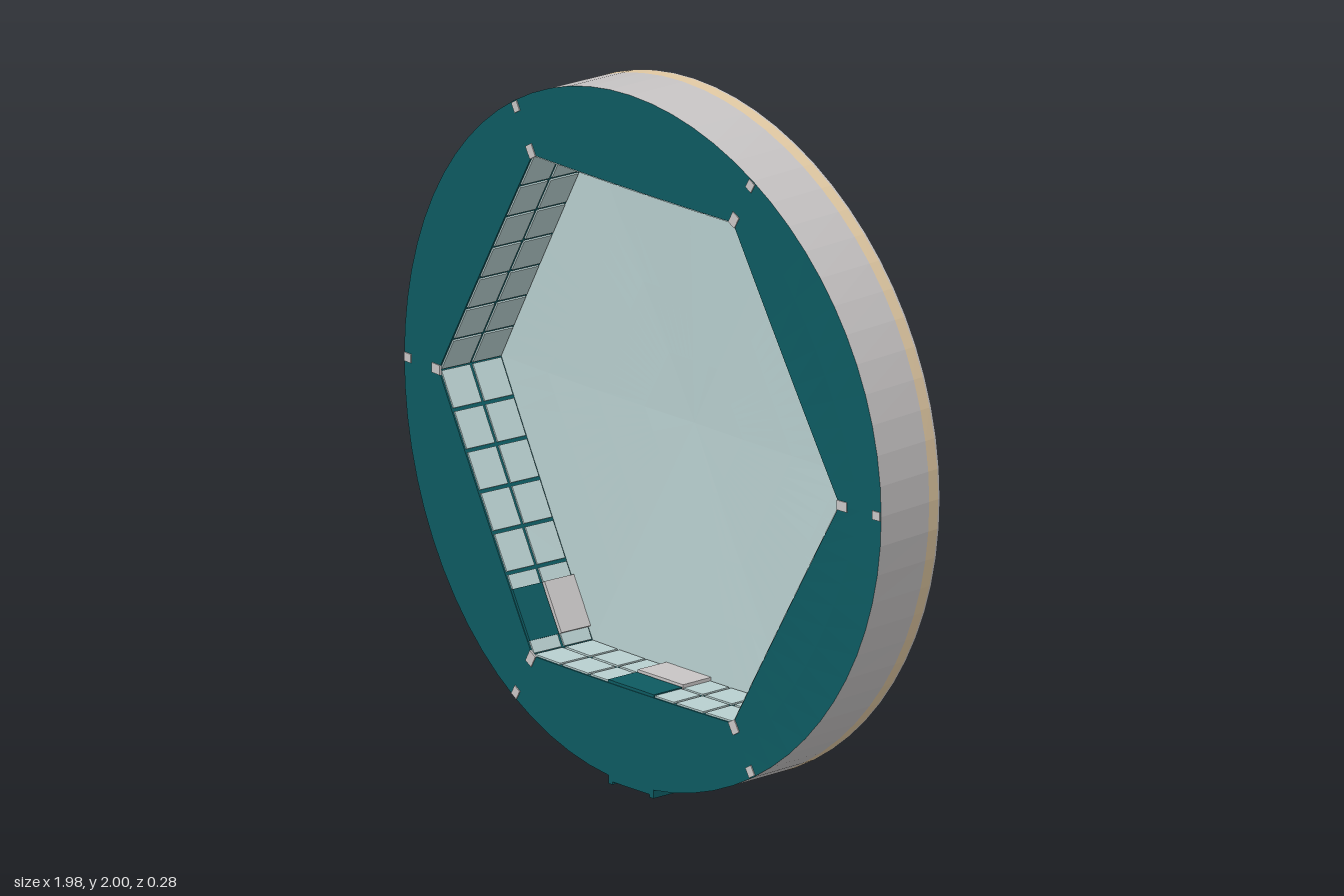
import * as THREE from 'three';
import { mergeGeometries } from 'three/addons/utils/BufferGeometryUtils.js';

const mat = (name, color) => new THREE.MeshStandardMaterial({ name, color });

const CY = 1.01;              // height of the disc centre
const R = 0.99;               // outer radius
const AP = 0.72;              // centre to flat side of the hexagonal opening
const SIDE = AP * 2 / Math.sqrt(3);
const ZF = 0.14, ZB = -0.095; // front and back before bending
const BEND = 10.8;            // radius of the wall the disc is curved to fit
const rad = THREE.MathUtils.degToRad;

// Wrap a point around the vertical axis of the curved wall
function bend(x, y, z) {
  const r = BEND + z - ZF, a = x / BEND;
  return [r * Math.sin(a), y, ZF - BEND + r * Math.cos(a)];
}

function finish(geo) {
  const g = geo.index ? geo.toNonIndexed() : geo;
  g.deleteAttribute('uv');
  g.computeVertexNormals();
  return g;
}

function bendGeometry(geo) {
  const p = geo.attributes.position;
  for (let i = 0; i < p.count; i++) p.setXYZ(i, ...bend(p.getX(i), p.getY(i), p.getZ(i)));
  return finish(geo);
}

// Distance from the centre to the hexagon's edge, angle in degrees
const hex = (deg) => AP / Math.cos(rad(((deg % 60) + 60) % 60 - 30));
const round = () => R;

// Band swept around the disc between two [radius(angle), z] rings
function band([ra, za], [rb, zb], rows = 1, from = 0, to = 360) {
  const pos = [], idx = [], n = (to - from) / 5;
  for (let i = 0; i <= n; i++) {
    const deg = from + i * 5, c = Math.cos(rad(deg)), s = Math.sin(rad(deg));
    for (let j = 0; j <= rows; j++) {
      const t = j / rows, r = ra(deg) * (1 - t) + rb(deg) * t;
      pos.push(...bend(r * c, CY + r * s, za + (zb - za) * t));
    }
  }
  for (let i = 0; i < n; i++) for (let j = 0; j < rows; j++) {
    const a = i * (rows + 1) + j, b = a + rows + 1;
    idx.push(a, b, a + 1, b, b + 1, a + 1);
  }
  const g = new THREE.BufferGeometry();
  g.setAttribute('position', new THREE.Float32BufferAttribute(pos, 3));
  g.setIndex(idx);
  return finish(g);
}

// Box placed at a polar position: width along the tangent, height along the radius
function polarBox(w, h, d, deg, r, z, shift = 0) {
  const g = new THREE.BoxGeometry(w, h, d);
  g.translate(-shift, r, z);
  g.rotateZ(rad(deg - 90));
  g.translate(0, CY, 0);
  return bendGeometry(g);
}

export function createModel() {
  const teal = mat('dark teal', 0x0d5a61);
  const glass = mat('pale glass', 0xb8cfcf);
  const grey = mat('light grey', 0xc8c5c5);
  const tan = mat('tan', 0xe2caa4);

  const model = new THREE.Group();
  model.name = 'curvedDiscModule';
  const add = (name, geo, material) => {
    const m = new THREE.Mesh(Array.isArray(geo) ? mergeGeometries(geo) : geo, material);
    m.name = name;
    model.add(m);
  };

  // Outer rim with a tan stripe near the back
  const T0 = -0.088, T1 = -0.052;
  add('outerRim', [
    band([round, ZB], [round, T0]),
    band([round, T1], [round, ZF]),
  ], grey);
  add('rimStripe', band([round, T0], [round, T1]), tan);

  // Front ring and the walls of the opening
  add('frontRing', band([round, ZF], [hex, ZF], 2), teal);
  add('openingWalls', band([hex, ZF], [hex, ZB]), teal);

  // Back ring: grey with one glazed sector at the top
  add('backRing', band([hex, ZB], [round, ZB], 2, 120, 420), grey);
  add('topBackSector', band([hex, ZB], [round, ZB], 2, 60, 120), glass);

  // Hexagonal window, slightly bulged to the back
  const centre = () => 0;
  add('window', [
    band([hex, ZB + 0.02], [centre, ZB], 4),
    band([centre, ZB - 0.018], [hex, ZB], 4),
  ], glass);

  // Tiles lining the six walls, two rows deep
  const tiles = [], cols = 7, tw = SIDE / cols, td = (ZF - ZB - 0.02) / 2;
  for (let k = 0; k < 6; k++)
    for (let i = 0; i < cols; i++)
      for (let j = 0; j < 2; j++)
        tiles.push(polarBox(tw - 0.01, 0.006, td - 0.01, 30 + 60 * k, AP - 0.002,
          ZF - td * (j + 0.5), (i - (cols - 1) / 2) * tw));
  add('wallTiles', tiles, glass);

  // Two hatches inside the opening: bottom centre and lower right wall end
  const hatches = [[270, 0, 0.19], [210, 0.3, 0.15]];
  add('hatchFronts', hatches.map(([a, s, w]) =>
    polarBox(w, 0.009, td - 0.004, a, AP - 0.004, ZF - td / 2, s)), teal);
  add('hatchBacks', hatches.map(([a, s, w]) =>
    polarBox(w, 0.016, td - 0.004, a, AP - 0.007, ZF - td * 1.5, s)), grey);

  // Small fittings on the front at the hexagon corners and the rim
  const marks = [];
  for (let a = 0; a < 360; a += 60) {
    marks.push(polarBox(0.028, 0.038, 0.006, a, 0.842, ZF));
    marks.push(polarBox(0.025, 0.03, 0.006, a, 0.972, ZF));
  }
  add('frontFittings', marks, grey);

  // Outer hatch under the rim, with side rails and a grey frame behind
  const box = (w, h, d, x, y, z) => finish(new THREE.BoxGeometry(w, h, d).translate(x, y, z));
  add('lowerHatch', [
    box(0.17, 0.02, 0.138, 0, 0.018, 0.069),
    ...[-1, 1].map((s) => box(0.016, 0.024, 0.138, s * 0.085, 0.012, 0.069)),
  ], teal);
  add('lowerHatchFrame', box(0.18, 0.014, 0.045, 0, 0.022, -0.024), grey);

  return model;
}
